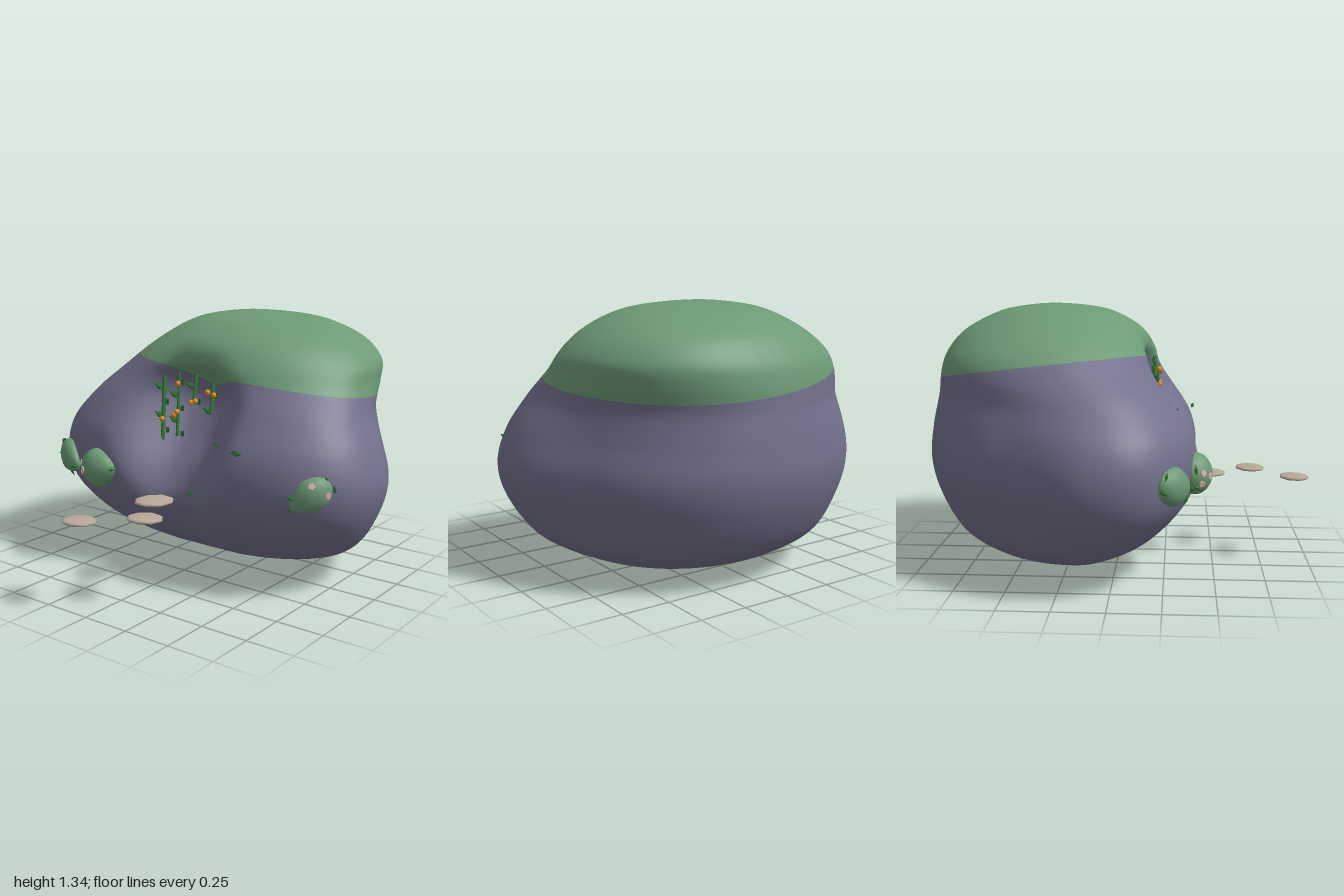
import * as THREE from 'three';

const { smoothstep, lerp } = THREE.MathUtils;
const mat = (name, color) => Object.assign(new THREE.MeshStandardMaterial({ color }), { name });

// Rock outline by height: y, xMin, xMax, zFront, zBack, zWidest, cave depth
const ROWS = [
  [0.00, 0, 0, -0.30, -0.30, -0.30, 0],
  [0.02, -0.24, 0.24, -0.12, -0.49, -0.28, 0],
  [0.05, -0.44, 0.46, -0.01, -0.60, -0.23, 0.01],
  [0.10, -0.62, 0.63, 0.10, -0.72, -0.17, 0.03],
  [0.20, -0.80, 0.81, 0.25, -0.86, -0.11, 0.08],
  [0.38, -0.93, 0.93, 0.39, -0.96, -0.08, 0.12],
  [0.55, -0.97, 0.97, 0.435, -1.00, -0.08, 0.22],
  [0.72, -0.93, 0.92, 0.415, -0.985, -0.09, 0.32],
  [0.88, -0.81, 0.83, 0.32, -0.955, -0.13, 0.31],
  [1.00, -0.71, 0.78, 0.25, -0.94, -0.22, 0.22],
  [1.10, -0.62, 0.755, 0.21, -0.91, -0.31, 0.07],
  [1.20, -0.48, 0.66, 0.13, -0.83, -0.35, 0.01],
  [1.28, -0.33, 0.51, 0.00, -0.69, -0.35, 0],
  [1.32, -0.18, 0.34, -0.13, -0.56, -0.35, 0],
  [1.34, 0.05, 0.05, -0.35, -0.35, -0.35, 0],
];
const N = ROWS.length - 1;

// Mirrored row beyond a pole, so the surface closes smoothly
const beyond = ([y, a, b, f, k, c, d]) => [y, b, a, k, f, c, d];

function rowAt(t) {
  const i = Math.min(Math.floor(t), N - 1), u = t - i;
  const p0 = i > 0 ? ROWS[i - 1] : beyond(ROWS[1]);
  const p3 = i + 2 <= N ? ROWS[i + 2] : beyond(ROWS[N - 1]);
  return ROWS[i].map((p1, k) => {
    const p2 = ROWS[i + 1][k], m1 = (p2 - p0[k]) / 2, m2 = (p3[k] - p1) / 2;
    return p1 + u * (m1 + u * (3 * (p2 - p1) - 2 * m1 - m2 + u * (2 * (p1 - p2) + m1 + m2)));
  });
}

// Superellipse front with the cave pressed in, slightly tapered back
function rockPoint(t, phi) {
  const [y, x0, x1, zf, zb, zc, depth] = rowAt(t);
  const c = Math.cos(phi), s = Math.sin(phi), front = s > 0;
  const n = front
    ? lerp(lerp(2, 2.5, smoothstep(y, 0.05, 0.4)), 2, smoothstep(y, 0.85, 1.1))
    : lerp(2, 2.2, smoothstep(y, 0.85, 1.05));
  const bend = (v) => Math.sign(v) * Math.abs(v) ** (2 / n);
  let x = bend(c) * (x1 - x0) / 2, z = zc + bend(s) * (front ? zf - zc : zc - zb);
  if (!front) {
    const taper = 0.09 * smoothstep(y, 0.05, 0.4) * (1 - smoothstep(y, 0.7, 1.05));
    x *= 1 - taper * smoothstep(-s, 0, 0.5);
  }
  x += (x0 + x1) / 2;
  if (front) {
    const w = 0.16 + 0.1 * smoothstep(y, 0.35, 0.8) - 0.06 * smoothstep(y, 0.9, 1.1);
    z -= depth * Math.exp(-((Math.abs(x) / w) ** 2.7));
  }
  return new THREE.Vector3(x, y, z);
}

// Height of the moss edge, dipping into the cave roof
function mossEdge({ x, z }) {
  const dip = 0.07 * Math.exp(-(((x - 0.04) / 0.15) ** 2)) * smoothstep(z, -0.1, 0.05);
  return 1.05 - 0.085 * x + 0.11 * z - dip;
}

function rockGeometry(cols = 200, low = 80, high = 36) {
  const pos = [], index = [], edges = [], rows = low + high;
  for (let j = 0; j < cols; j++) {
    let a = 5, b = N;
    for (let k = 0; k < 30; k++) {
      const m = (a + b) / 2, p = rockPoint(m, (j / cols) * Math.PI * 2);
      if (p.y < mossEdge(p)) a = m; else b = m;
    }
    edges.push(a);
  }
  for (let i = 0; i <= rows; i++) {
    for (let j = 0; j < cols; j++) {
      const e = edges[j];
      const t = i <= low ? (e * i) / low : e + ((N - e) * (i - low)) / high;
      pos.push(...rockPoint(t, (j / cols) * Math.PI * 2).toArray());
    }
  }
  for (let i = 0; i < rows; i++) {
    for (let j = 0; j < cols; j++) {
      const a = i * cols + j, b = i * cols + ((j + 1) % cols), c = a + cols, d = b + cols;
      index.push(a, c, b, b, c, d);
    }
  }
  const g = new THREE.BufferGeometry();
  g.setAttribute('position', new THREE.Float32BufferAttribute(pos, 3));
  g.setIndex(index);
  g.addGroup(0, low * cols * 6, 0);
  g.addGroup(low * cols * 6, high * cols * 6, 1);
  g.computeVertexNormals();
  return g;
}

// Egg with its narrow end toward +x
const eggWidth = (x) => 1 - 0.3 * Math.max(0, x);
function eggGeometry() {
  const g = new THREE.SphereGeometry(1, 16, 12), p = g.attributes.position;
  for (let i = 0; i < p.count; i++) {
    const k = eggWidth(p.getX(i));
    p.setXYZ(i, p.getX(i), p.getY(i) * k, p.getZ(i) * k);
  }
  g.computeVertexNormals();
  return g;
}

export function createModel() {
  const model = new THREE.Group();
  const stone = mat('purple stone', 0x72708b);
  const moss = mat('moss green', 0x6d9a75);
  const leafGreen = mat('leaf green', 0x338038);
  const orange = mat('berry orange', 0xdc8a1e);
  const pink = mat('petal pink', 0xd6b3a8);
  const tan = mat('stepping stone tan', 0xb8a898);
  leafGreen.flatShading = true;

  const add = (name, geo, material, p, parent = model) => {
    const m = new THREE.Mesh(geo, material);
    m.name = name;
    m.position.set(...p);
    parent.add(m);
    return m;
  };

  add('rock', rockGeometry(), [stone, moss], [0, 0, 0]);

  const leafGeo = new THREE.OctahedronGeometry(1);
  const leaf = (p, size, roll, yaw = roll * 0.5, parent = model) => {
    const m = add('leaf', leafGeo, leafGreen, p, parent);
    m.scale.set(size * 0.5, size, size * 0.3);
    m.rotation.set(0.3, yaw, roll);
  };

  // Bushes on the rock face: centre, radii, outward turn, roll, flower spots
  const bushGeo = eggGeometry();
  const flowerGeo = new THREE.CylinderGeometry(0.018, 0.018, 0.009, 5);
  const bushes = [
    [[-0.76, 0.525, 0.3], [0.125, 0.092, 0.06], -0.55, -0.25, []],
    [[-0.45, 0.53, 0.4], [0.122, 0.106, 0.087], -0.15, 0.1, [[-0.4, 0], [-0.75, 0.25], [-0.8, -0.25]]],
    [[0.77, 0.56, 0.255], [0.118, 0.088, 0.066], 0.65, Math.PI + 0.6, [[-0.28, -0.55], [-0.6, 0.4]]],
  ];
  for (const [p, r, turn, roll, flowers] of bushes) {
    const bush = new THREE.Group();
    bush.name = 'bush';
    bush.position.set(...p);
    bush.rotation.set(0, turn, roll);
    model.add(bush);
    add('bushBody', bushGeo, moss, [0, 0, 0], bush).scale.set(...r);
    for (const [u, v] of flowers) {
      const w = Math.sqrt(1 - u * u - v * v), k = eggWidth(u);
      const out = new THREE.Vector3(u / r[0], v / r[1], w / r[2]).normalize();
      add('flower', flowerGeo, pink, [u * r[0], v * r[1] * k, w * r[2] * k], bush)
        .quaternion.setFromUnitVectors(new THREE.Vector3(0, 1, 0), out);
    }
    for (const a of [0.05, 2.7, 3.5, 5.5]) {
      const k = eggWidth(Math.cos(a));
      leaf([Math.cos(a) * r[0], Math.sin(a) * r[1] * k, 0.02], 0.028, a + 1.2, a + 1.2, bush);
    }
  }

  // Hanging vines: x, top, bottom, berries (dx, y)
  const berryGeo = new THREE.SphereGeometry(0.015, 10, 8);
  const vines = [
    [-0.17, 1.03, 0.65, [[0, 0.8]]],
    [-0.07, 1.06, 0.72, [[0.01, 1.0], [0, 0.85], [-0.02, 0.83]]],
    [0.04, 1.06, 0.9, [[-0.015, 0.91], [0.012, 0.92]]],
    [0.15, 1.03, 0.86, [[-0.02, 0.975], [0.02, 0.965]]],
  ];
  vines.forEach(([x, top, bottom, berries], k) => {
    const z = 0.185, len = top - bottom;
    const path = new THREE.LineCurve3(new THREE.Vector3(x, top, z), new THREE.Vector3(x - 0.004, bottom, z + 0.02));
    add('vineStem', new THREE.TubeGeometry(path, 1, k ? 0.009 : 0.012, 5), leafGreen, [0, 0, 0]);
    for (const [dx, y] of berries) add('berry', berryGeo, orange, [x + dx, y, z + 0.027]);
    const count = Math.round(len / 0.075);
    for (let i = 0; i < count; i++) {
      const side = (i + k) % 2 ? 1 : -1;
      leaf([x + side * 0.026, top - (len * (i + 0.8)) / count, z + 0.015], 0.036, side * -0.8);
    }
  });

  // Loose leaves on the cave rim and rock face
  leaf([0.255, 0.74, 0.31], 0.022, 1.4, 0);
  leaf([0.1, 0.46, 0.32], 0.034, 1.0, 0);
  leaf([0.435, 0.74, 0.395], 0.034, 1.57, 0);

  // Floating stepping stones: x, z, radii, turn
  const profile = [[0, -0.014], [0.6, -0.012], [0.9, -0.007], [1, 0], [0.9, 0.007], [0.6, 0.012], [0, 0.014]]
    .map(([x, y]) => new THREE.Vector2(x, y));
  const stepGeo = new THREE.LatheGeometry(profile, 8);
  const steps = [[-0.015, 0.47, 0.095, 0.106, -0.5], [0.13, 0.71, 0.094, 0.08, 0.2], [-0.095, 0.925, 0.09, 0.077, 0.25]];
  for (const [x, z, rx, rz, turn] of steps) {
    const s = add('steppingStone', stepGeo, tan, [x, 0.44, z]);
    s.scale.set(rx, 1, rz);
    s.rotation.y = turn;
  }

  return model;
}
